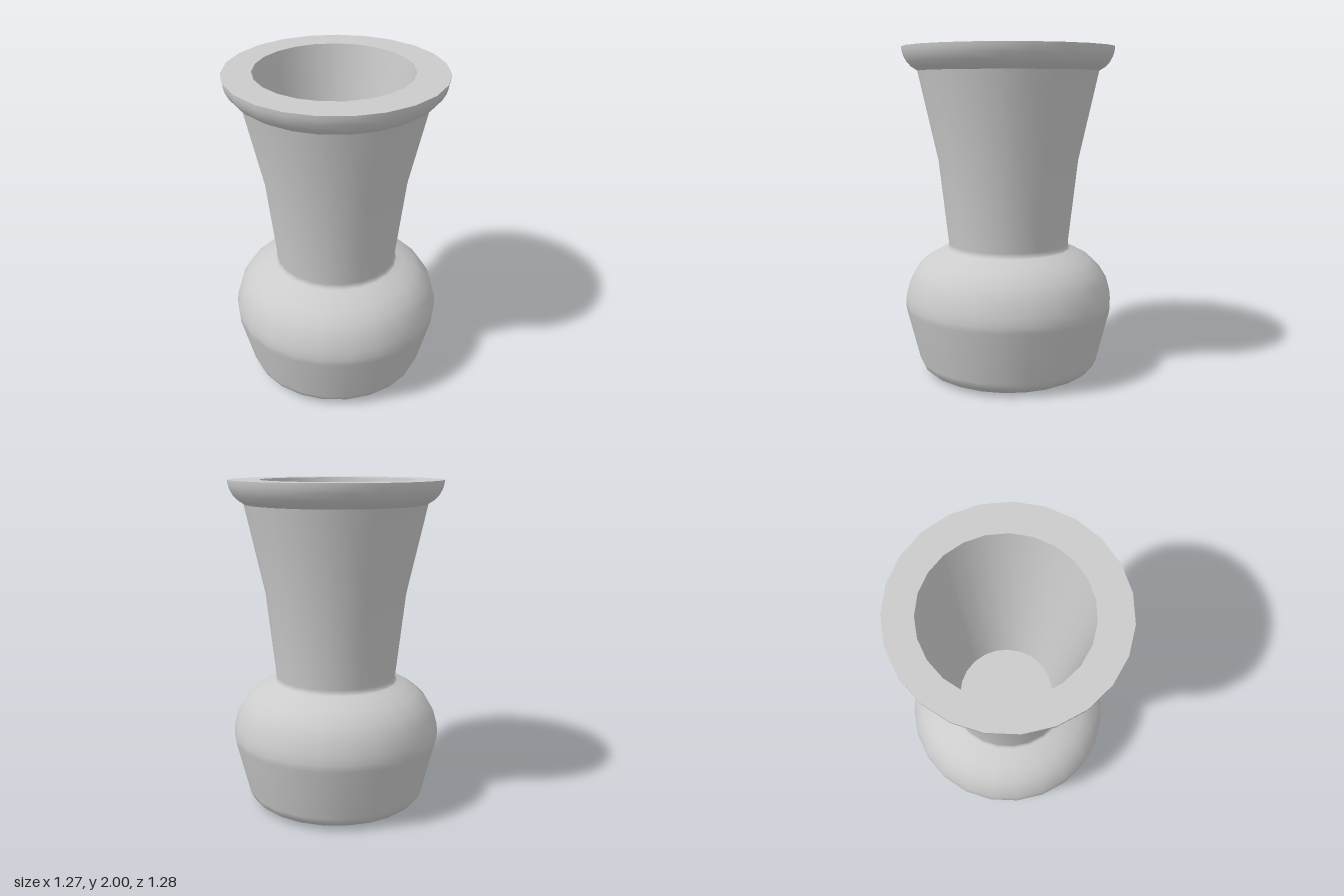
import * as THREE from 'three';

const SIDES = 23;
const HOLE_Z = -0.015; // the bore sits slightly off the axis
const material = new THREE.MeshStandardMaterial({ color: 0xcccccc });

function addMesh(group, name, geometry) {
  const mesh = new THREE.Mesh(geometry, material);
  mesh.name = name;
  group.add(mesh);
  return mesh;
}

// Revolve [radius, height] pairs, with a corner on +x
function turned(profile) {
  const points = profile.map(([r, y]) => new THREE.Vector2(r, y));
  return new THREE.LatheGeometry(points, SIDES, Math.PI / 2);
}

// Corners of a regular polygon, starting on +x
function ring(radius, cy = 0) {
  return Array.from({ length: SIDES }, (_, i) => {
    const a = (i / SIDES) * Math.PI * 2;
    return new THREE.Vector2(radius * Math.cos(a), cy + radius * Math.sin(a));
  });
}

export function createModel() {
  const vase = new THREE.Group();
  vase.name = 'vase';

  // Bulbous base flowing into the flared neck
  addMesh(vase, 'body', turned([
    [0, 0], [0.44, 0], [0.475, 0.007], [0.512, 0.026], [0.54, 0.052], [0.558, 0.09],
    [0.638, 0.41], [0.64, 0.45], [0.635, 0.5], [0.612, 0.585], [0.57, 0.655],
    [0.51, 0.715], [0.43, 0.76], [0.385, 0.778], [0.373, 0.788], [0.37, 0.81],
    [0.428, 1.32], [0.548, 1.86],
  ]));

  // Rounded collar around the mouth
  addMesh(vase, 'collar', turned([
    [0.548, 1.86], [0.583, 1.882], [0.61, 1.91], [0.629, 1.945], [0.638, 1.975], [0.64, 2],
  ]));

  // Flat lip with the opening cut through it
  const lipShape = new THREE.Shape(ring(0.64));
  lipShape.holes.push(new THREE.Path(ring(0.46, -HOLE_Z)));
  const lip = addMesh(vase, 'lip', new THREE.ShapeGeometry(lipShape).rotateX(-Math.PI / 2));
  lip.position.y = 2;

  // Tapered bore and its floor
  const bore = addMesh(vase, 'bore', turned([[0.46, 2], [0.295, 0.8]]));
  bore.position.z = HOLE_Z;
  const floor = addMesh(vase, 'boreFloor', new THREE.CircleGeometry(0.295, SIDES).rotateX(-Math.PI / 2));
  floor.position.set(0, 0.8, HOLE_Z);

  return vase;
}
